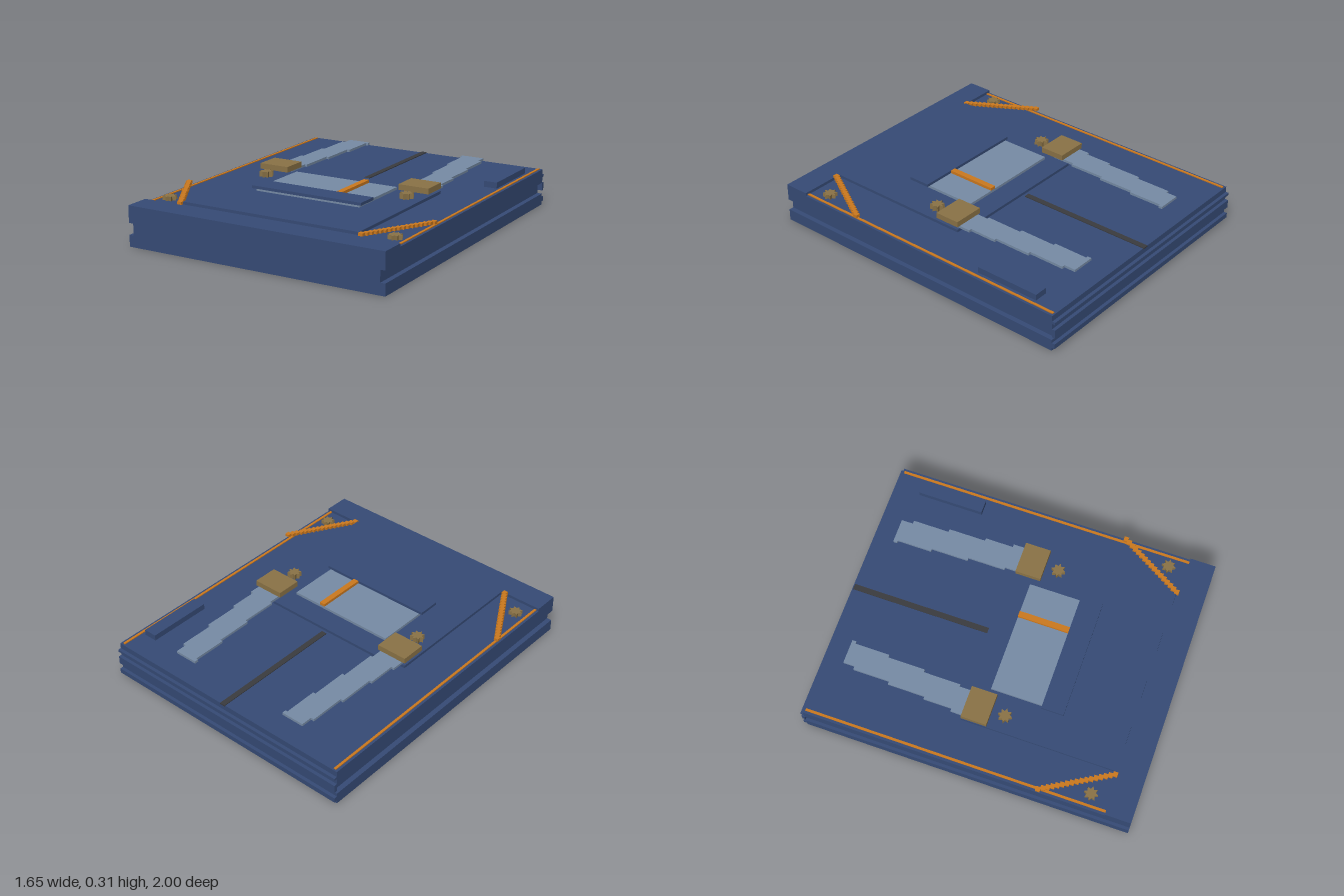
import * as THREE from 'three';

export function createModel() {
  const model = new THREE.Group();
  model.name = 'binder';
  const mat = (name, color) => {
    const m = new THREE.MeshStandardMaterial({ color });
    m.name = name;
    return m;
  };
  const navy = mat('navy', 0x364b76);
  const greyBlue = mat('grey blue', 0x778ca6);
  const brass = mat('brass', 0x8b7346);
  const orange = mat('orange', 0xcc791e);
  const charcoal = mat('charcoal', 0x3a3b3f);

  const add = (name, geometry, material, parent = model) => {
    const mesh = new THREE.Mesh(geometry, material);
    mesh.name = name;
    parent.add(mesh);
    return mesh;
  };
  // Box given by its limits on each axis
  const box = (name, material, x0, x1, y0, y1, z0, z1, parent) => {
    const mesh = add(name, new THREE.BoxGeometry(x1 - x0, y1 - y0, z1 - z0), material, parent);
    mesh.position.set((x0 + x1) / 2, (y0 + y1) / 2, (z0 + z1) / 2);
    return mesh;
  };
  // The same box on both sides of x = 0
  const pair = (name, material, x0, x1, ...rest) => {
    box(name + 'Left', material, x0, x1, ...rest);
    box(name + 'Right', material, -x1, -x0, ...rest);
  };

  // Body with a page groove along each side
  const right = [[0.825, 0], [0.825, 0.07], [0.795, 0.07], [0.795, 0.14], [0.825, 0.14], [0.825, 0.225]];
  const left = right.map(([x, y]) => [-x, y]).reverse();
  const outline = new THREE.Shape([...right, ...left].map(([x, y]) => new THREE.Vector2(x, y)));
  const body = new THREE.ExtrudeGeometry(outline, { depth: 1.98, bevelEnabled: false });
  body.translate(0, 0, -0.98);
  add('body', body, navy);

  // Raised front band and ribs on the back
  box('frontBand', navy, -0.825, 0.825, 0.225, 0.243, 0.845, 1);
  for (const [y0, y1] of [[0.02, 0.05], [0.09, 0.14], [0.175, 0.19]]) {
    box('backRib', navy, -0.825, 0.825, y0, y1, -1, -0.98);
  }

  // Edge piping and centre seam
  pair('edgePiping', orange, 0.795, 0.81, 0.222, 0.23, -0.97, 0.845);
  box('centreSeam', charcoal, -0.017, 0.017, 0.222, 0.23, -0.985, -0.14);

  // Pocket panel, its upper lip and the support below it
  box('pocketPanel', navy, -0.57, 0.57, 0.243, 0.26, -0.105, 0.83);
  box('pocketLip', navy, -0.4, 0.4, 0.243, 0.26, -0.138, -0.105);
  box('pocketSupport', navy, -0.4, 0.4, 0.225, 0.243, -0.117, -0.103);

  // Window with orange stripe and lower flap
  box('window', greyBlue, -0.345, 0.34, 0.26, 0.276, 0, 0.43);
  box('windowStripe', orange, 0.12, 0.155, 0.276, 0.293, 0, 0.31);
  box('windowFlap', navy, -0.365, 0.36, 0.276, 0.293, 0.31, 0.445);

  // Raised tab on the model's left side
  box('sideTab', navy, 0.69, 0.772, 0.225, 0.261, -0.83, -0.43);

  // Stepped straps: inner x, outer x, back z, front z
  const steps = [
    [0.333, 0.478, -0.86, -0.835], [0.347, 0.478, -0.835, -0.79], [0.347, 0.498, -0.79, -0.625],
    [0.363, 0.498, -0.625, -0.57], [0.363, 0.516, -0.57, -0.4], [0.38, 0.516, -0.4, -0.345],
    [0.38, 0.532, -0.345, -0.175], [0.394, 0.55, -0.175, -0.03],
  ];
  for (const [x0, x1, z0, z1] of steps) pair('strap', greyBlue, x0, x1, 0.261, 0.276, z0, z1);

  // Buckles
  pair('buckle', brass, 0.377, 0.57, 0.276, 0.31, -0.105, 0.05);

  // Eight-pointed studs
  const star = new THREE.Shape();
  for (let i = 0; i < 16; i++) {
    const r = i % 2 ? 0.026 : 0.042, a = (i * Math.PI) / 8;
    star[i ? 'lineTo' : 'moveTo'](r * Math.cos(a), r * Math.sin(a));
  }
  const stud = new THREE.ExtrudeGeometry(star, { depth: 0.033, bevelEnabled: false });
  stud.rotateX(-Math.PI / 2);
  for (const side of [1, -1]) {
    add('pocketStud', stud, brass).position.set(side * 0.475, 0.26, 0.13);
    const corner = add('cornerStud', stud, brass);
    corner.position.set(side * 0.735, 0.225, 0.735);
    corner.scale.y = 0.75;
  }

  // Diagonal corner cords made of stepped beads
  const beads = 17;
  for (const side of [1, -1]) {
    const cord = new THREE.Group();
    cord.name = side > 0 ? 'cornerCordLeft' : 'cornerCordRight';
    for (let i = 0; i < beads; i++) {
      const t = i / (beads - 1);
      const x = side * (0.812 - 0.225 * t), z = 0.445 + 0.385 * t;
      box('bead', orange, x - 0.014, x + 0.014, 0.243, 0.26, z - 0.014, z + 0.014, cord);
    }
    model.add(cord);
  }
  return model;
}
